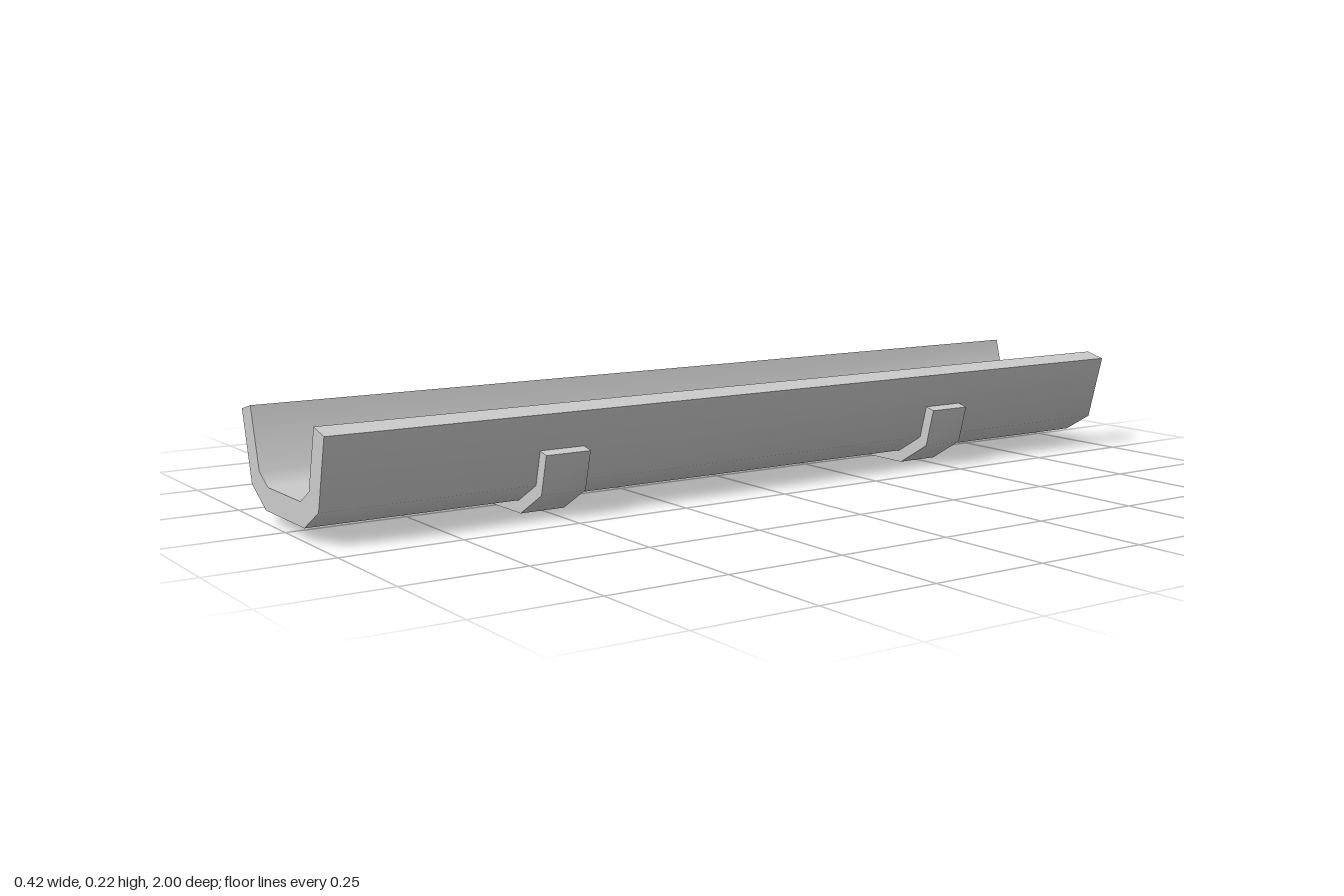
import * as THREE from 'three';
import { toCreasedNormals } from 'three/addons/utils/BufferGeometryUtils.js';

const material = new THREE.MeshStandardMaterial({ color: 0xcccccc });

// Mirrors a half profile across x = 0 and extrudes it along z, centred.
// outer and inner both run from the bottom middle up to the rim.
function channel(name, outer, inner, length) {
  const half = [...outer, ...[...inner].reverse()];
  const mirror = (pts) => pts.map(([x, y]) => [-x, y]);
  const outline = [
    ...half,
    ...mirror(half).reverse(),
  ].map(([x, y]) => new THREE.Vector2(x, y));
  const geometry = new THREE.ExtrudeGeometry(new THREE.Shape(outline), {
    depth: length, bevelEnabled: false, steps: 1,
  });
  geometry.translate(0, 0, -length / 2);
  // Gentle bends shade smoothly, rims and ends stay sharp
  const mesh = new THREE.Mesh(toCreasedNormals(geometry, Math.PI / 3), material);
  mesh.name = name;
  return mesh;
}

export function createModel() {
  const group = new THREE.Group();
  group.name = 'gutter';

  // Long open trough
  const troughOuter = [[0.097, 0.027], [0.168, 0.068], [0.206, 0.214]];
  const troughInner = [[0.081, 0.075], [0.125, 0.1], [0.159, 0.226]];
  group.add(channel('trough', troughOuter, troughInner, 2));

  // Two brackets cradling the trough from below
  const bracketOuter = [[0.103, 0.001], [0.189, 0.051], [0.211, 0.134]];
  const bracketInner = [[0.097, 0.027], [0.168, 0.068], [0.187, 0.14]];
  for (const [name, z] of [['frontBracket', 0.5], ['backBracket', -0.5]]) {
    const bracket = channel(name, bracketOuter, bracketInner, 0.1);
    bracket.position.z = z;
    group.add(bracket);
  }
  return group;
}
